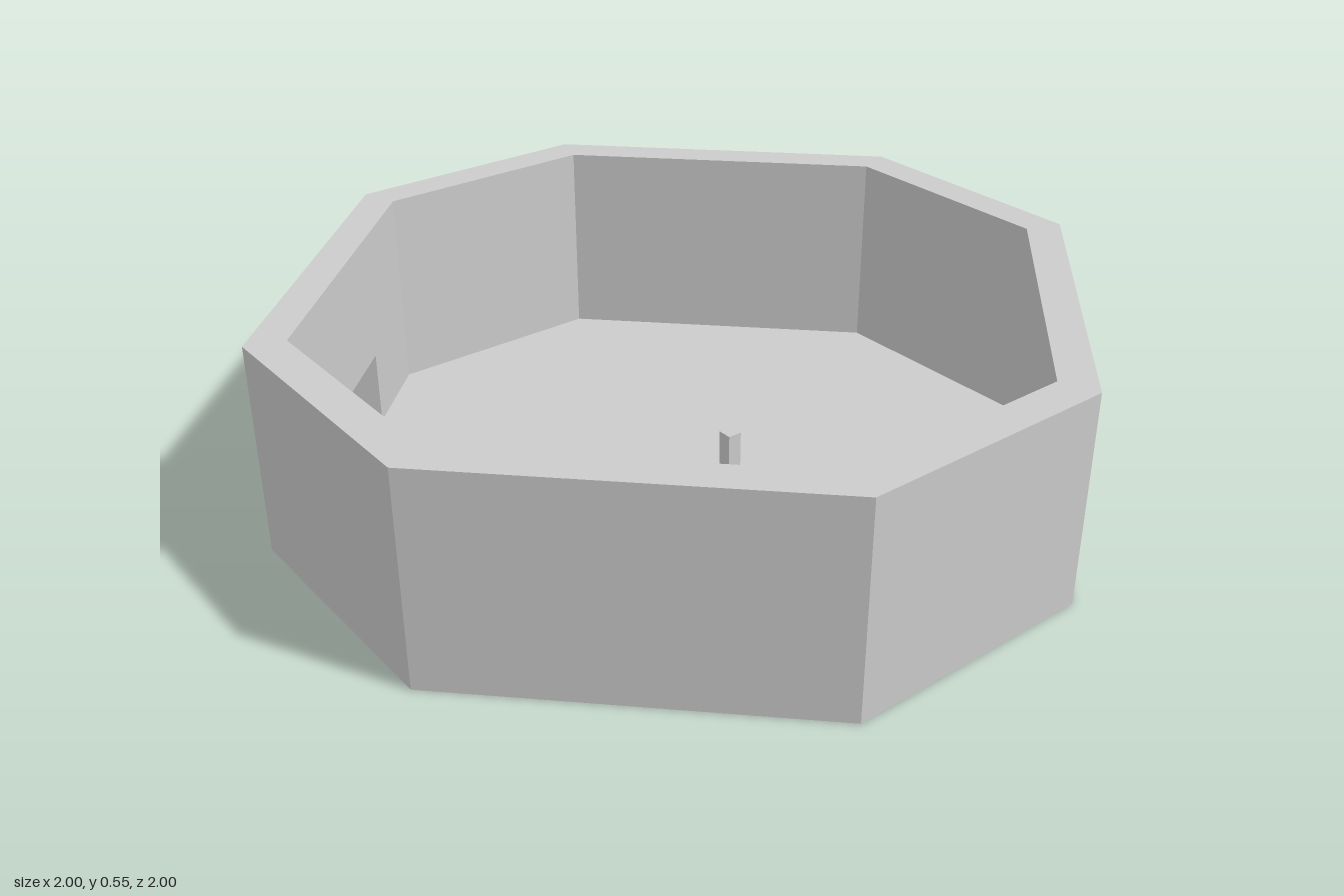
import * as THREE from 'three';

const HEIGHT = 0.545, FLOOR = 0.01, DOOR_TOP = 0.209;
const OUTER = [1, 0.333], INNER = [0.907, 0.3];

// Octagon corners in plan (plan y points to the back), counter-clockwise,
// starting and ending on either side of the back diagonal wall that holds the doorway
function octagon([far, near]) {
  return [
    [-far, near], [-far, -near], [-near, -far], [near, -far],
    [far, -near], [far, near], [near, far], [-near, far],
  ].map(([x, y]) => new THREE.Vector2(x, y));
}

// Raise a plan outline from one height to another
function slab(name, points, bottom, top, material) {
  const geometry = new THREE.ExtrudeGeometry(new THREE.Shape(points), {
    depth: top - bottom, bevelEnabled: false,
  });
  geometry.rotateX(-Math.PI / 2);
  geometry.translate(0, bottom, 0);
  const mesh = new THREE.Mesh(geometry, material);
  mesh.name = name;
  return mesh;
}

export function createModel() {
  const group = new THREE.Group();
  group.name = 'octagonalEnclosure';
  const material = new THREE.MeshStandardMaterial({ color: 0xcccccc, flatShading: true });

  const outer = octagon(OUTER), inner = octagon(INNER);

  // Doorway: middle third of the diagonal wall, with jambs square to it
  const jambOut = [1 / 3, 2 / 3].map(t => outer[0].clone().lerp(outer[7], t));
  const step = (OUTER[0] + OUTER[1] - INNER[0] - INNER[1]) / 2;
  const jambIn = jambOut.map(p => new THREE.Vector2(p.x + step, p.y - step));

  // Floor
  group.add(slab('floor', outer, 0, FLOOR, material));

  // Wall running all the way round from one jamb to the other
  const ring = [jambOut[0], ...outer, jambOut[1], jambIn[1], ...inner.slice().reverse(), jambIn[0]];
  group.add(slab('wall', ring, FLOOR, HEIGHT, material));

  // Wall above the doorway
  const lintel = [jambOut[0], jambIn[0], jambIn[1], jambOut[1]];
  group.add(slab('lintel', lintel, DOOR_TOP, HEIGHT, material));

  // Small square post standing on the floor
  const postHeight = 0.2 - FLOOR;
  const post = new THREE.Mesh(new THREE.BoxGeometry(0.037, postHeight, 0.037), material);
  post.position.set(0, FLOOR + postHeight / 2, 0.18);
  post.name = 'post';
  group.add(post);

  return group;
}
